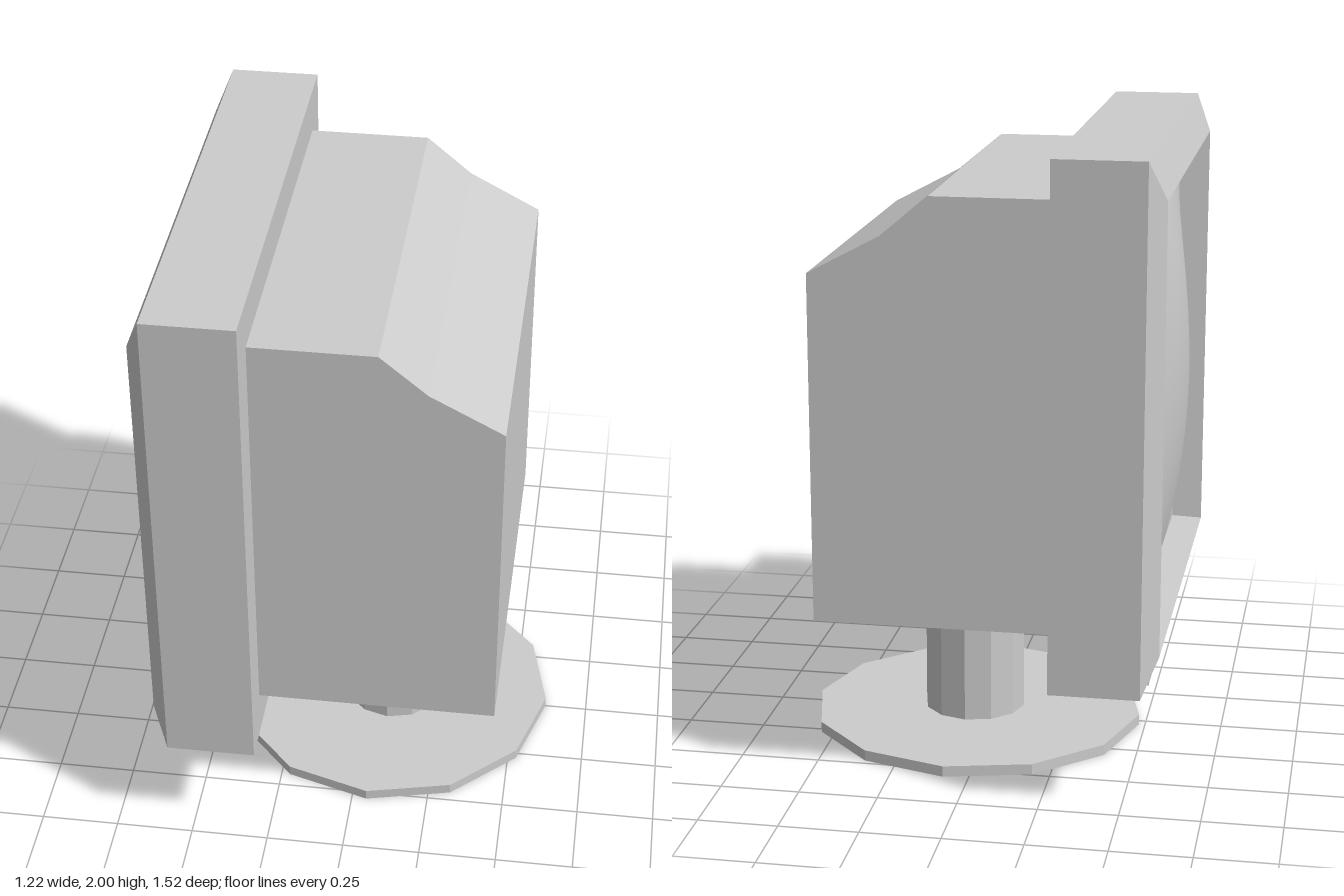
import * as THREE from 'three';

const mat = new THREE.MeshStandardMaterial({ color: 0xcccccc, flatShading: true });
const smooth = new THREE.MeshStandardMaterial({ color: 0xcccccc });

// Rectangular cross-sections [x, bottom, top, halfDepth] skinned in order, first one capped
function skinRects(rects) {
  const corners = rects.map(([x, b, t, h]) => [[x, b, -h], [x, t, -h], [x, t, h], [x, b, h]]);
  const pos = [];
  const quad = (a, b, c, d) => pos.push(...a, ...b, ...c, ...a, ...c, ...d);
  quad(...corners[0]);
  for (let i = 0; i + 1 < corners.length; i++) {
    const A = corners[i], B = corners[i + 1];
    for (let k = 0; k < 4; k++) quad(A[k], B[k], B[(k + 1) % 4], A[(k + 1) % 4]);
  }
  const geo = new THREE.BufferGeometry();
  geo.setAttribute('position', new THREE.Float32BufferAttribute(pos, 3));
  geo.computeVertexNormals();
  return geo;
}

export function createModel() {
  const model = new THREE.Group();
  const add = (name, geo, parent = model, material = mat) => {
    const mesh = new THREE.Mesh(geo, material);
    mesh.name = name;
    parent.add(mesh);
    return mesh;
  };
  // Box given by its limits
  const box = (name, x0, x1, y0, y1, z0, z1, parent) =>
    add(name, new THREE.BoxGeometry(x1 - x0, y1 - y0, z1 - z0), parent)
      .position.set((x0 + x1) / 2, (y0 + y1) / 2, (z0 + z1) / 2);

  // Round foot and neck
  const disc = (name, r, y0, y1, x, z) =>
    add(name, new THREE.CylinderGeometry(r, r, y1 - y0, 12).rotateY(-0.03))
      .position.set(x, (y0 + y1) / 2, z);
  disc('base', 0.545, 0, 0.035, 0.065, -0.015);
  disc('neck', 0.167, 0.03, 0.54, 0.078, -0.005);

  // Tube housing with a sloping rear top
  const profile = new THREE.Shape([
    [-0.3, 0.525], [0.47, 0.525], [0.47, 1.62], [0.245, 1.74], [0.1, 1.862], [-0.3, 1.862],
  ].map(([x, y]) => new THREE.Vector2(x, y)));
  add('housing', new THREE.ExtrudeGeometry(profile, { depth: 1.27, bevelEnabled: false })
    .translate(0, 0, -0.635));

  // Screen surround: outer walls, chamfer, then inward to the glass
  add('bezel', skinRects([
    [-0.28, 0.38, 2, 0.76], [-0.56, 0.38, 2, 0.76],
    [-0.61, 0.5, 1.88, 0.7], [-0.51, 0.51, 1.82, 0.68],
  ]));

  // Bulging glass
  const W = 1.36, H = 1.31;
  const glass = new THREE.PlaneGeometry(W, H, 14, 14);
  const p = glass.attributes.position;
  for (let i = 0; i < p.count; i++) {
    const u = 2 * p.getX(i) / W, v = 2 * p.getY(i) / H;
    p.setZ(i, 0.1 * (1 - u * u) * (1 - v * v));
  }
  glass.computeVertexNormals();
  glass.rotateY(-Math.PI / 2);
  add('screen', glass, model, smooth).position.set(-0.51, 1.165, 0);

  // Control tray under the bezel
  const tray = new THREE.Group();
  tray.name = 'controlTray';
  model.add(tray);
  const z0 = -0.52, z1 = 0.595;
  box('trayPlate', -0.56, -0.3, 0.355, 0.385, z0, z1, tray);
  box('trayFront', -0.56, -0.52, 0.335, 0.36, z0, z1, tray);
  box('trayRear', -0.44, -0.37, 0.3, 0.36, z0, z1, tray);
  box('trayEndRight', -0.53, -0.43, 0.335, 0.36, z0, z0 + 0.06, tray);
  box('trayEndLeft', -0.53, -0.43, 0.335, 0.36, z1 - 0.06, z1, tray);
  // Long rounded control bar inside the tray
  const bar = add('controlBar', new THREE.CylinderGeometry(0.036, 0.036, 0.8, 8).rotateX(Math.PI / 2), tray);
  bar.scale.y = 0.7;
  bar.position.set(-0.48, 0.334, 0.04);

  return model;
}
